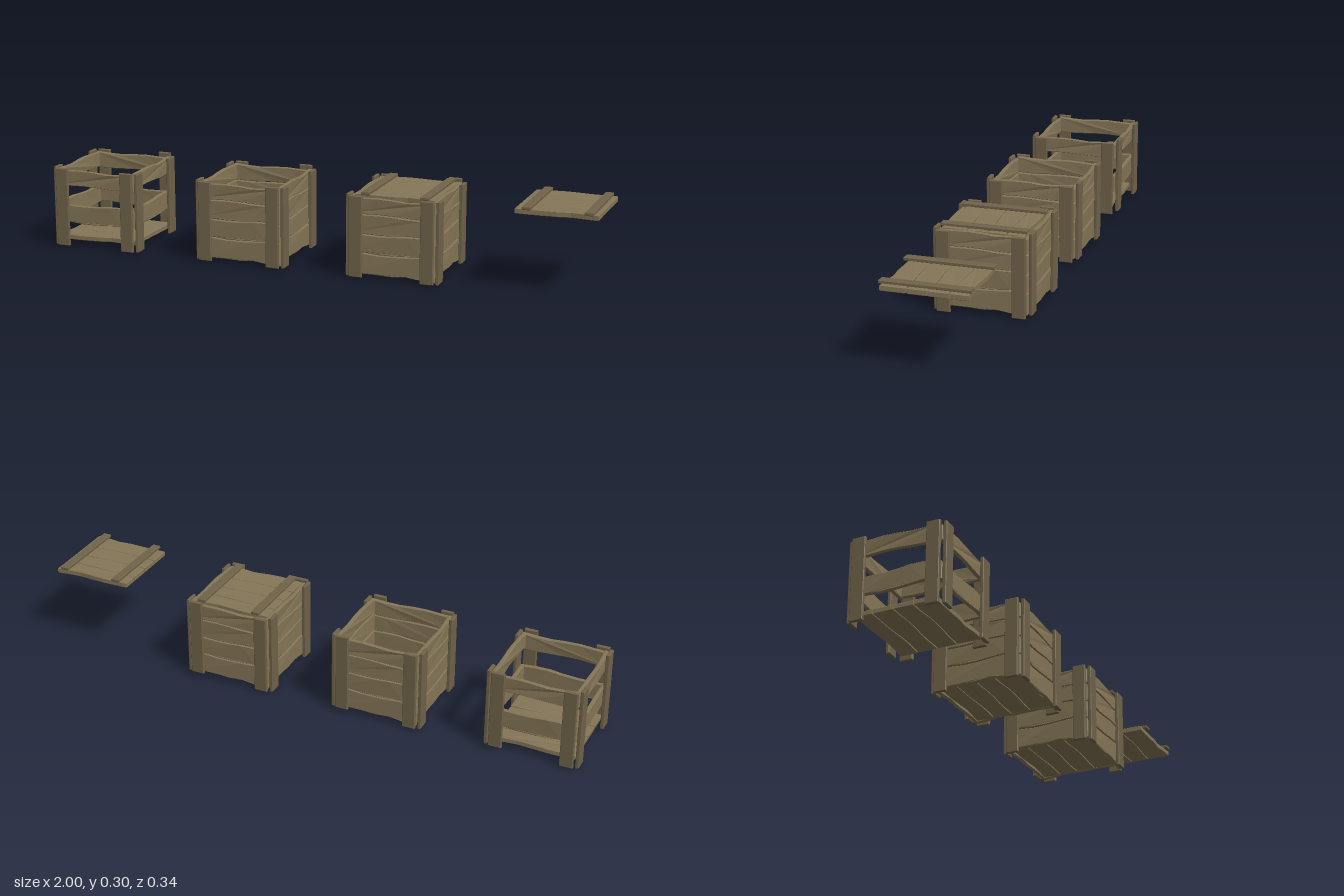
import * as THREE from 'three';

const plankMat = new THREE.MeshStandardMaterial({ color: 0x857657, flatShading: true });
const postMat = new THREE.MeshStandardMaterial({ color: 0x706349, flatShading: true });

// Wavy seams between the four boards of a panel, at seven even stations
const SEAMS = [
  [0.021, 0.021, 0.021, 0.020, 0.025, 0.019, 0.015],
  [0.098, 0.097, 0.093, 0.094, 0.097, 0.101, 0.100],
  [0.164, 0.163, 0.162, 0.164, 0.169, 0.169, 0.165],
  [0.233, 0.233, 0.235, 0.234, 0.231, 0.230, 0.232],
  [0.290, 0.292, 0.294, 0.292, 0.288, 0.290, 0.294],
];
const MID = 0.156;

// Bevelled board lying along x between a lower and an upper edge, warped along z
function board(half, low, high, thick, warp = 0, phase = 0) {
  const n = low.length - 1;
  const at = (i) => -half + (2 * half * i) / n;
  const pts = low.map((y, i) => new THREE.Vector2(at(i), y));
  for (let i = n; i >= 0; i--) pts.push(new THREE.Vector2(at(i), high[i]));
  const b = 0.002;
  const geo = new THREE.ExtrudeGeometry(new THREE.Shape(pts), {
    depth: thick - 2 * b, bevelThickness: b, bevelSize: b, bevelOffset: -b, bevelSegments: 1,
  });
  geo.translate(0, 0, b - thick / 2);
  const p = geo.attributes.position;
  for (let i = 0; i < p.count; i++) {
    p.setZ(i, p.getZ(i) + warp * Math.sin(p.getX(i) * 18 + phase));
  }
  geo.computeVertexNormals();
  return geo;
}

function add(parent, name, geo, mat) {
  const mesh = new THREE.Mesh(geo, mat);
  mesh.name = name;
  parent.add(mesh);
  return mesh;
}

// Panel of boards; only the listed rows are filled
function panel(name, half, thick, rows, warp, centred = false) {
  const group = new THREE.Group();
  group.name = name;
  const drop = centred ? MID : 0;
  for (const r of rows) {
    const low = SEAMS[r].map((y) => y + 0.0015 - drop);
    const high = SEAMS[r + 1].map((y) => y - 0.0015 - drop);
    add(group, 'plank', board(half, low, high, thick, warp, r * 0.5), plankMat);
  }
  return group;
}

// Each side: turn about y, wall distance, half length, lift, then post [centre, bottom, top]
const SIDES = [
  { name: 'front', turn: 0, dist: 0.152, half: 0.152, lift: -0.007, posts: [[-0.129, 0.006, 0.292], [0.127, 0.005, 0.294]] },
  { name: 'left', turn: 1, dist: 0.147, half: 0.146, lift: 0, posts: [[-0.135, 0.004, 0.291], [0.128, 0.009, 0.293]] },
  { name: 'back', turn: 2, dist: 0.150, half: 0.152, lift: -0.004, posts: [[-0.122, 0.017, 0.302], [0.129, 0.007, 0.294]] },
  { name: 'right', turn: 3, dist: 0.148, half: 0.146, lift: -0.003, posts: [[-0.13, 0.002, 0.295], [0.132, 0.005, 0.293]] },
];

function crate(name, rows) {
  const group = new THREE.Group();
  group.name = name;
  for (const s of SIDES) {
    const side = new THREE.Group();
    side.name = s.name + 'Side';
    const wall = panel(s.name + 'Wall', s.half, 0.014, rows, 0.002);
    wall.position.set(0, s.lift, s.dist);
    side.add(wall);
    for (const [x, y0, y1] of s.posts) {
      const post = add(side, 'cornerPost', board(0.0235, [y0, y0], [y1, y1], 0.013), postMat);
      post.position.set(x, 0, s.dist + 0.0145);
    }
    side.rotation.y = (s.turn * Math.PI) / 2;
    group.add(side);
  }
  // Floor boards
  const floor = panel('floor', 0.15, 0.018, [0, 1, 2, 3], 0.002, true);
  floor.rotation.x = -Math.PI / 2;
  floor.scale.y = 1.06;
  floor.position.y = 0.033;
  group.add(floor);
  return group;
}

function lid() {
  const group = new THREE.Group();
  group.name = 'lid';
  const top = panel('lidPlanks', 0.142, 0.019, [0, 1, 2, 3], 0.001, true);
  top.rotation.x = -Math.PI / 2;
  top.scale.y = 1.04;
  top.position.y = 0.2845;
  group.add(top);
  // Cross battens
  for (const [x, z] of [[-0.1, 0.003], [0.112, 0.005]]) {
    const batten = add(group, 'batten', board(0.015, [-0.15, -0.15], [0.15, 0.15], 0.012), postMat);
    batten.rotation.x = -Math.PI / 2;
    batten.position.set(x, 0.2985, z);
  }
  return group;
}

export function createModel() {
  const model = new THREE.Group();
  model.name = 'crateSet';
  const all = [0, 1, 2, 3];
  const pieces = [
    [crate('slattedCrate', [1, 3]), -0.832],
    [crate('openCrate', all), -0.268],
    [crate('closedCrate', all), 0.296],
    [lid(), 0.296],
    [lid(), 0.858],
  ];
  for (const [piece, x] of pieces) {
    piece.position.x = x;
    model.add(piece);
  }
  return model;
}
